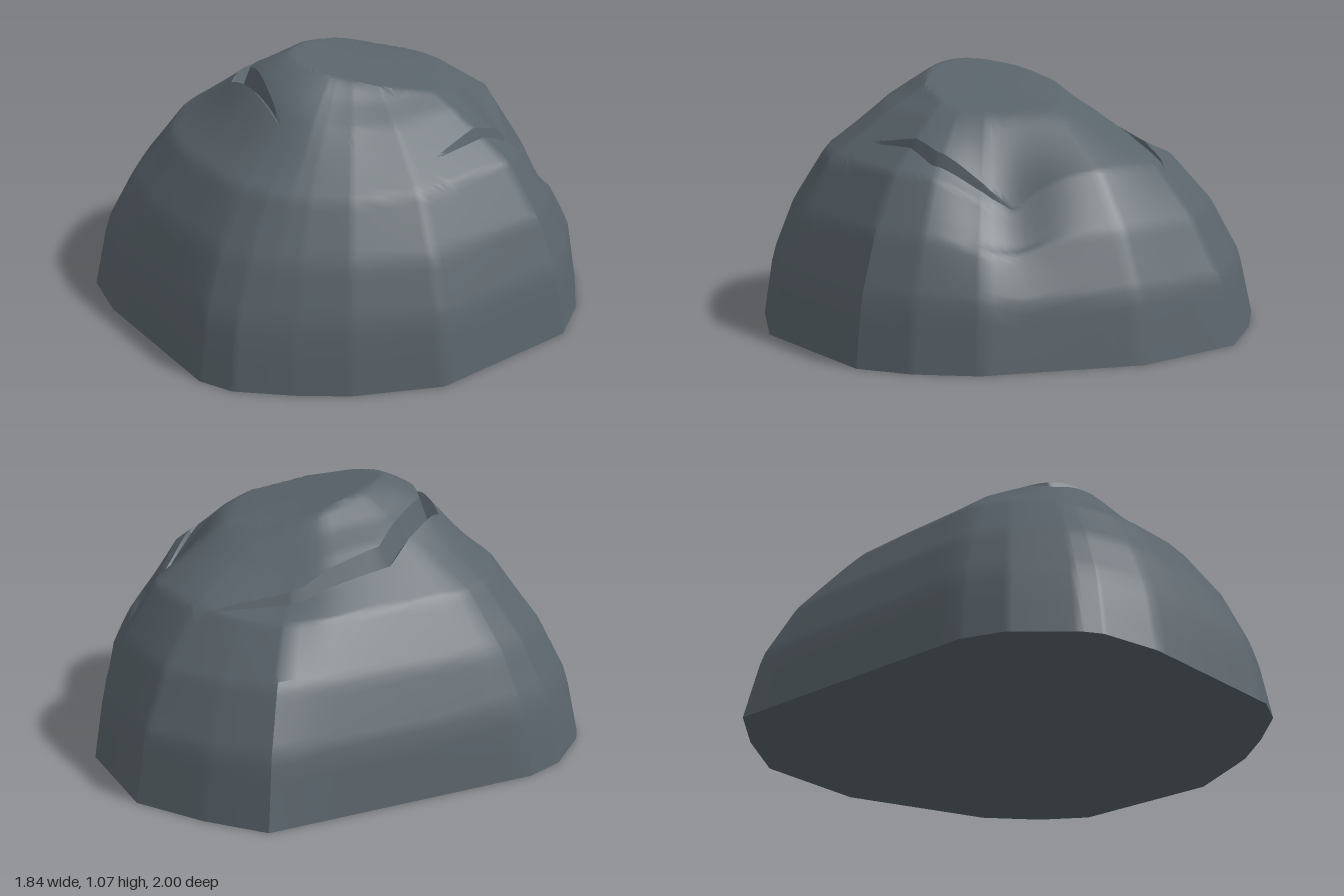
import * as THREE from 'three';
import { toCreasedNormals } from 'three/addons/utils/BufferGeometryUtils.js';

const { lerp, clamp } = THREE.MathUtils;

const stone = new THREE.MeshStandardMaterial({ color: 0x59636a });
stone.name = 'slate grey stone';

// Footprint corners [x, z], clockwise from above
const footprint = [
  [-0.92, -0.65], [-0.72, -0.83], [-0.46, -1], [0.02, -1], [0.61, -0.74], [0.8, -0.56],
  [0.92, -0.37], [0.92, 0.27], [0.75, 0.6], [0.61, 0.77], [0.44, 0.94], [0.3, 1],
  [-0.38, 0.98], [-0.62, 0.92], [-0.69, 0.87], [-0.86, 0.67], [-0.92, 0.5],
];

// Dome profile: [scale of footprint, height]
const profile = [
  [1, 0], [0.955, 0.27], [0.86, 0.5], [0.72, 0.715], [0.46, 0.9], [0.36, 0.955], [0.25, 1.03], [0, 1.15],
];

// Swellings: [x, z, radius x, radius z, height]
const frontSwell = [-0.1, 0.37, 0.3, 0.17, 0.085];
const backDent = [0.38, -0.58, 0.2, 0.2, -0.12];
const sideDent = [-0.4, -0.35, 0.25, 0.25, -0.05];

// Closed loop holding both cracks: [x, z, half width, depth]
const crackLoop = [
  [-0.36, -0.7, 0.004, 0], [-0.52, -0.34, 0.035, 0.08], [-0.48, 0.06, 0.04, 0.08],
  [-0.25, 0.39, 0.04, 0.08], [0.15, 0.48, 0.004, 0],
  [0.57, 0.03, 0.004, 0], [0.52, -0.33, 0.03, 0.08], [0.33, -0.6, 0.004, 0],
];

// Radius, half width and depth of the crack loop in a direction
function crackAt(dx, dz) {
  for (let i = 0; i < crackLoop.length; i++) {
    const [ax, az, aw, ad] = crackLoop[i];
    const [bx, bz, bw, bd] = crackLoop[(i + 1) % crackLoop.length];
    const sideA = dx * az - dz * ax, sideB = dx * bz - dz * bx;
    const t = sideA / (sideA - sideB);
    const radius = lerp(ax, bx, t) * dx + lerp(az, bz, t) * dz;
    if (t >= 0 && t <= 1 && radius > 0) return { radius, width: lerp(aw, bw, t), depth: lerp(ad, bd, t) };
  }
}

// Distance from the centre: corners grow rounder towards the top
function radiusAt(s, rimRadius) {
  const roundness = Math.min(1, (1 - s) * 2);
  return s * lerp(rimRadius, Math.min(rimRadius, 1), roundness);
}

// Scale at which a column reaches a given radius
function scaleAt(radius, rimRadius) {
  let low = 0, high = 1;
  for (let i = 0; i < 24; i++) {
    const middle = (low + high) / 2;
    if (radiusAt(middle, rimRadius) < radius) low = middle;
    else high = middle;
  }
  return low;
}

function swell(x, z, [cx, cz, rx, rz, height]) {
  return height * Math.exp(-(((x - cx) / rx) ** 2) - ((z - cz) / rz) ** 2);
}

// Dome surface, cut off by a sloping top
function heightAt(s, x, z) {
  const i = clamp(profile.findIndex(([scale]) => scale <= s), 1, profile.length - 1);
  const [s0, y0] = profile[i - 1], [s1, y1] = profile[i];
  const fade = Math.min(1, (1 - s) * 6);
  const dome = lerp(y0, y1, (s - s0) / (s1 - s0)) + fade * swell(x, z, frontSwell);
  const top = 1.01 + 0.2 * z - 0.1 * x;
  return Math.min(dome, top) + fade * (swell(x, z, backDent) + swell(x, z, sideDent));
}

// Footprint split into short steps
function outline(steps) {
  return footprint.flatMap(([ax, az], i) => {
    const [bx, bz] = footprint[(i + 1) % footprint.length];
    return Array.from({ length: steps }, (_, k) => [lerp(ax, bx, k / steps), lerp(az, bz, k / steps)]);
  });
}

function meshFrom(name, positions, index) {
  const geometry = new THREE.BufferGeometry();
  geometry.setAttribute('position', new THREE.Float32BufferAttribute(positions, 3));
  geometry.setIndex(index);
  const mesh = new THREE.Mesh(toCreasedNormals(geometry, 0.5), stone);
  mesh.name = name;
  return mesh;
}

// Dome: columns from rim to summit, with three rows that follow the cracks
function buildDome() {
  const rim = outline(12), outerRows = 28, innerRows = 24;
  const count = outerRows + innerRows + 3;
  const positions = [], index = [];
  rim.forEach(([ox, oz], j) => {
    const rimRadius = Math.hypot(ox, oz), dx = ox / rimRadius, dz = oz / rimRadius;
    const { radius, width, depth } = crackAt(dx, dz);
    const outer = scaleAt(radius + width, rimRadius);
    const inner = scaleAt(radius - width, rimRadius);
    const scales = [];
    for (let i = 0; i <= outerRows; i++) scales.push(lerp(1, outer, i / outerRows));
    scales.push(scaleAt(radius, rimRadius));
    for (let i = 0; i <= innerRows; i++) scales.push(lerp(inner, 0, i / innerRows));
    const next = ((j + 1) % rim.length) * count;
    scales.forEach((s, i) => {
      const r = radiusAt(s, rimRadius), x = dx * r, z = dz * r;
      positions.push(x, heightAt(s, x, z) - (i === outerRows + 1 ? depth : 0), z);
      if (i < count - 1) {
        const a = j * count + i, b = next + i;
        index.push(a, a + 1, b + 1);
        index.push(a, b + 1, b);
      }
    });
  });
  return meshFrom('boulderDome', positions, index);
}

// Flat underside
function buildUnderside() {
  const positions = [0, 0, 0], index = [];
  footprint.forEach(([x, z], i) => {
    positions.push(x, 0, z);
    index.push(0, i + 1, (i + 1) % footprint.length + 1);
  });
  return meshFrom('underside', positions, index);
}

export function createModel() {
  const boulder = new THREE.Group();
  boulder.name = 'boulder';
  boulder.add(buildDome(), buildUnderside());
  return boulder;
}
